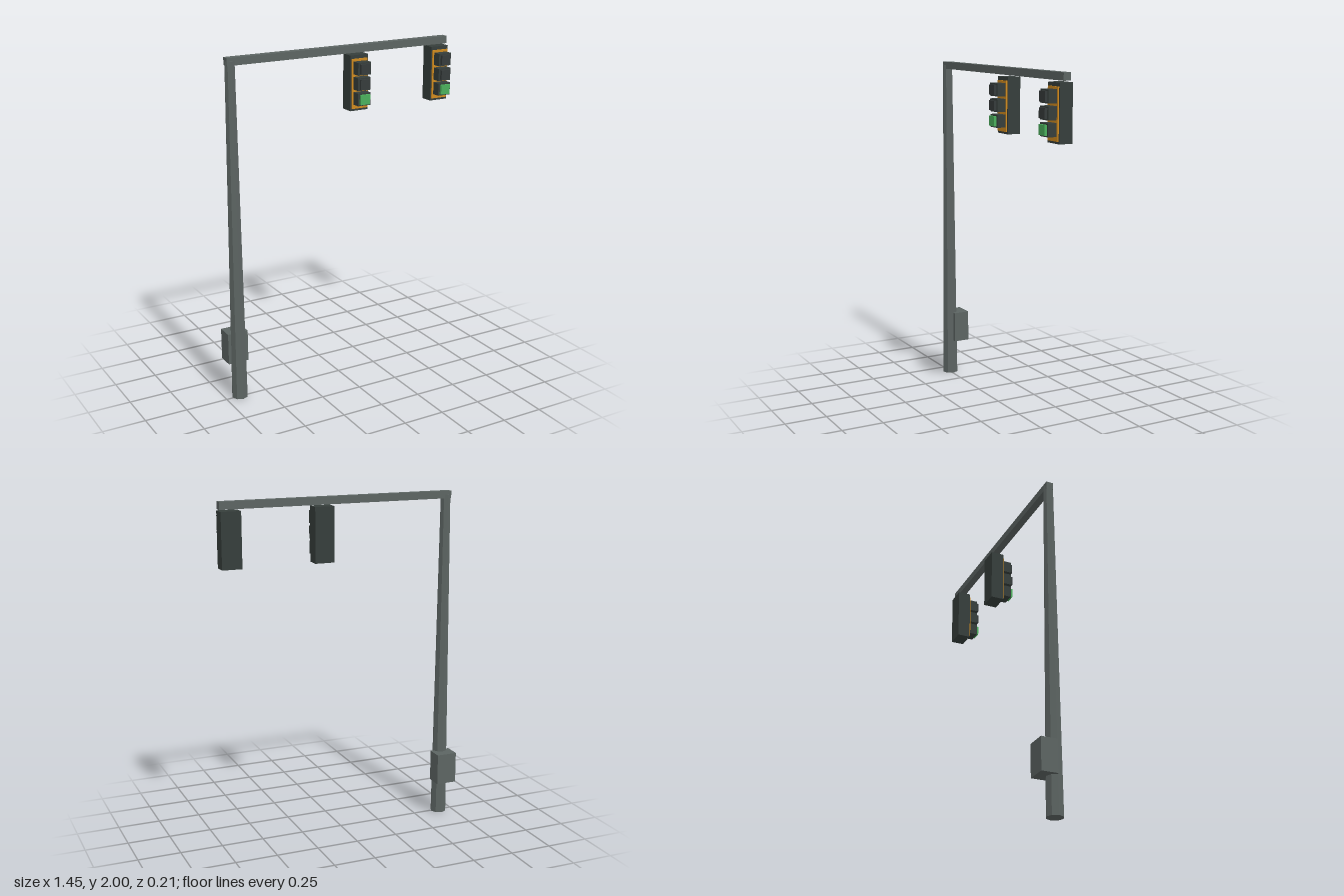
import * as THREE from 'three';

const paint = (name, color) => {
  const m = new THREE.MeshStandardMaterial({ color, flatShading: true });
  m.name = name;
  return m;
};

export function createModel() {
  const steel = paint('grey steel', 0x5c6462);
  const dark = paint('dark housing', 0x363e3b);
  const lensOff = paint('unlit lens', 0x363b3b);
  const orange = paint('orange', 0xcf8a1e);
  const green = paint('green lens', 0x4bb05c);

  const model = new THREE.Group();
  model.name = 'trafficSignal';

  const add = (parent, name, geometry, material, x, y, z) => {
    const mesh = new THREE.Mesh(geometry, material);
    mesh.name = name;
    mesh.position.set(x, y, z);
    parent.add(mesh);
  };
  // Box given by its minimum and maximum along each axis
  const box = (parent, name, material, [x0, x1], [y0, y1], [z0, z1]) =>
    add(parent, name, new THREE.BoxGeometry(x1 - x0, y1 - y0, z1 - z0), material,
      (x0 + x1) / 2, (y0 + y1) / 2, (z0 + z1) / 2);

  // Tapered eight-sided pole, overhead arm and control cabinet
  add(model, 'pole', new THREE.CylinderGeometry(0.029, 0.048, 1.98, 8), steel, -0.663, 0.99, -0.006);
  box(model, 'arm', steel, [-0.688, 0.722], [1.957, 2], [-0.029, 0.014]);
  box(model, 'cabinet', steel, [-0.724, -0.6], [0.215, 0.402], [-0.107, -0.01]);

  // Signal heads hanging below the arm
  for (const x of [0.115, 0.661]) {
    const head = new THREE.Group();
    head.name = 'signalHead';
    head.position.x = x;
    model.add(head);
    box(head, 'housing', dark, [-0.058, 0.058], [1.63, 1.948], [-0.045, 0.034]);
    box(head, 'facePlate', orange, [-0.051, 0.051], [1.643, 1.928], [0.034, 0.041]);

    // Three lamps, with the lowest one lit
    [1.878, 1.791, 1.704].forEach((y, i) => {
      box(head, 'lampHood', dark, [-0.041, 0.041], [y - 0.036, y + 0.036], [0.041, 0.092]);
      box(head, 'lens', i === 2 ? green : lensOff,
        [-0.03, 0.03], [y - 0.028, y + 0.028], [0.092, 0.107]);
    });
  }
  return model;
}
